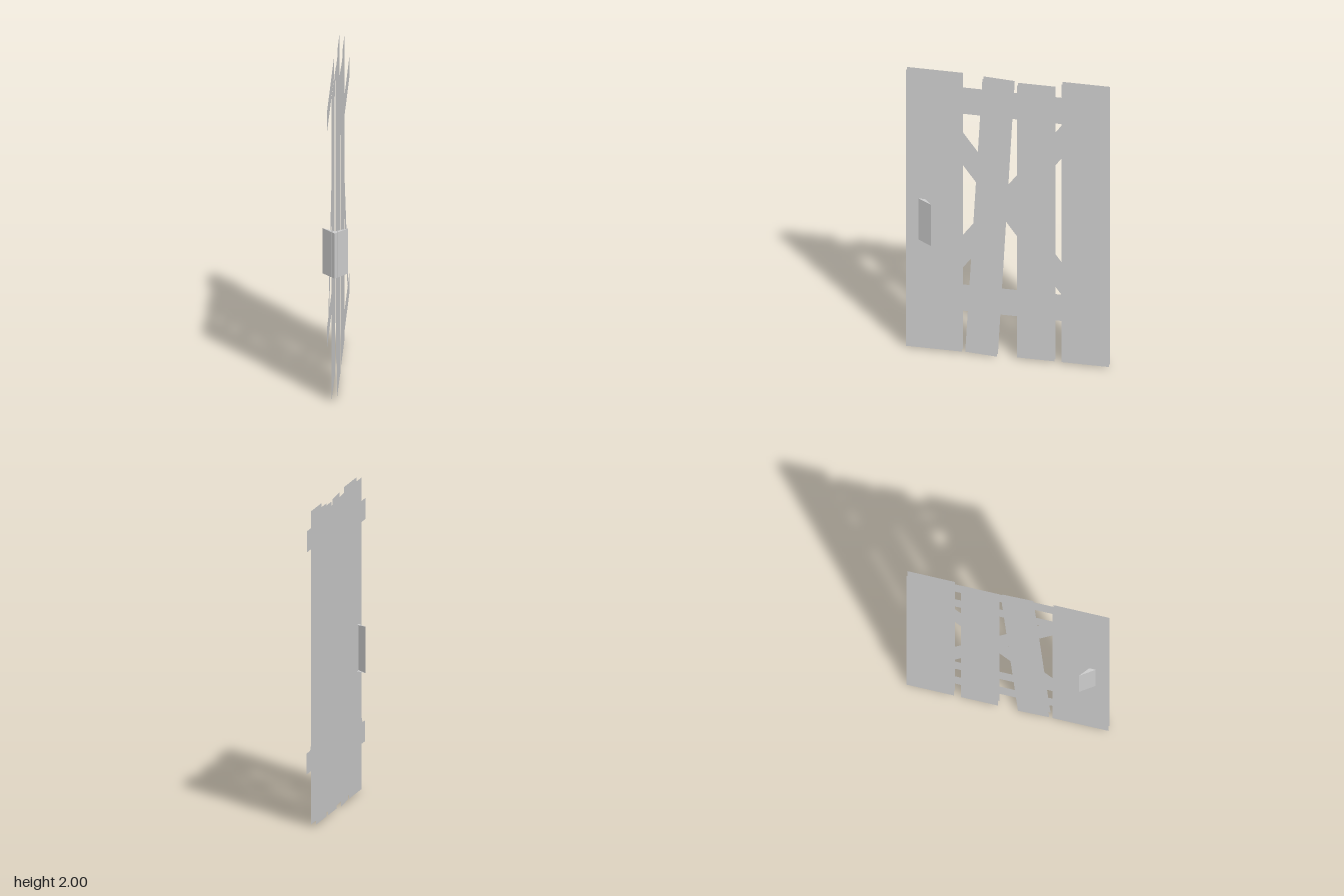
import * as THREE from 'three';

const material = new THREE.MeshStandardMaterial({ color: 0xcccccc, side: THREE.DoubleSide, flatShading: true });

// Flat board facing outward on one side of the door (side = 1: +x, -1: -x); corners are [z, y]
function board(name, corners, side, offset) {
  const shape = new THREE.Shape(corners.map(([z, y]) => new THREE.Vector2(-side * z, y)));
  const mesh = new THREE.Mesh(new THREE.ShapeGeometry(shape), material);
  mesh.rotation.y = side * Math.PI / 2;
  mesh.position.x = side * offset;
  mesh.name = name;
  return mesh;
}

const rect = (z0, z1, y0, y1) => [[z0, y0], [z1, y0], [z1, y1], [z0, y1]];

// Chevron handle passing through the door, open on its inner side
function createHandle() {
  const handle = new THREE.Group();
  handle.name = 'handle';
  const half = 0.08, tipZ = 0.476, apexZ = 0.592, innerZ = 0.54, y0 = 0.78, y1 = 1.075;
  const depth = apexZ - tipZ;
  for (const s of [1, -1]) {
    const face = new THREE.Mesh(new THREE.PlaneGeometry(Math.hypot(half, depth), y1 - y0), material);
    face.rotation.y = s * Math.atan2(depth, half);
    face.position.set(s * half / 2, (y0 + y1) / 2, (tipZ + apexZ) / 2);
    face.name = 'handleFace';
    handle.add(face);

    // End caps: s = 1 on top, s = -1 underneath
    const outline = [[-half, tipZ], [0, apexZ], [half, tipZ], [0, innerZ]];
    const shape = new THREE.Shape(outline.map(([x, z]) => new THREE.Vector2(x, -s * z)));
    const cap = new THREE.Mesh(new THREE.ShapeGeometry(shape), material);
    cap.rotation.x = -s * Math.PI / 2;
    cap.position.y = s > 0 ? y1 : y0;
    cap.name = 'handleCap';
    handle.add(cap);
  }
  return handle;
}

export function createModel() {
  const door = new THREE.Group();
  door.name = 'plankDoor';

  const planks = [
    rect(0.65, 0.29, 0.01, 1.99),
    [[0.27, 0.012], [0.068, 0], [-0.04, 1.97], [0.16, 1.98]], // crooked plank
    rect(-0.06, -0.30, 0.01, 1.96),
    rect(-0.345, -0.65, 0.01, 2.0),
  ];
  const battens = [
    rect(0.618, -0.615, 1.733, 1.867),
    rect(0.602, -0.632, 0.323, 0.456),
  ];
  // Diagonal brace, its ends tucked slightly under the battens
  const brace = [[0.577, 1.76], [0.358, 1.76], [-0.582, 0.43], [-0.408, 0.43]];
  brace[0] = [0.573, 1.755];
  brace[1] = [0.362, 1.755];
  brace[2] = [-0.577, 0.435];
  brace[3] = [-0.405, 0.435];
  brace[0][0] = 0.57;
  brace[1][0] = 0.396;

  for (const side of [1, -1]) {
    const layer = new THREE.Group();
    layer.name = side > 0 ? 'rightFacingLayer' : 'leftFacingLayer';
    planks.forEach((p) => layer.add(board('plank', p, side, 0.016)));
    battens.forEach((b) => layer.add(board('batten', b, side, 0.048)));
    // The brace runs the opposite way on the other side
    layer.add(board('brace', brace.map(([z, y]) => [side * z, y]), side, 0.042));
    door.add(layer);
  }
  door.add(createHandle());
  return door;
}
